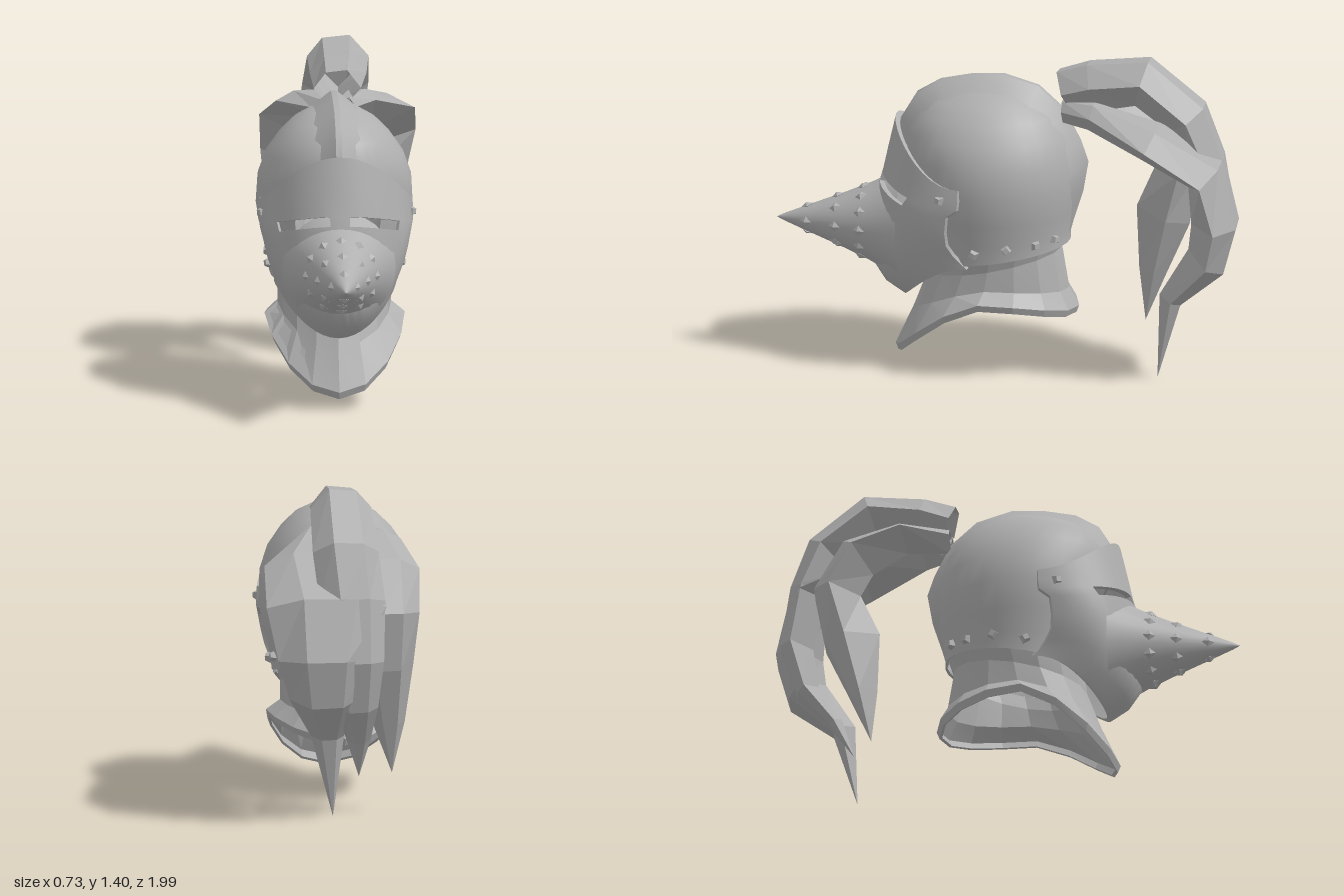
import * as THREE from 'three';
import { toCreasedNormals } from 'three/addons/utils/BufferGeometryUtils.js';

const steel = new THREE.MeshStandardMaterial({ color: 0xb0b0b0, side: THREE.DoubleSide });
steel.name = 'grey steel';

const V = (x, y, z) => new THREE.Vector3(x, y, z);

function addMesh(parent, name, geometry) {
  const mesh = new THREE.Mesh(geometry, steel);
  mesh.name = name;
  parent.add(mesh);
  return mesh;
}

// Skin a grid of points. With a centre, it becomes a plate with an inner wall
// and closed edges. keep(row, col) leaves out cells to make openings.
function plate(points, { wrap = false, keep = () => true, centre = null, thick = 0.05, crease = 0.6 } = {}) {
  const nr = points.length - 1, nc = points[0].length - 1, pos = [];
  const inner = centre && points.map(row => row.map(p => p.clone().lerp(centre, thick)));
  const quad = (a, b, c, d) => [a, b, c, a, c, d].forEach(p => pos.push(p.x, p.y, p.z));
  const has = (r, c) => {
    if (wrap) c = (c + nc) % nc;
    return r >= 0 && r < nr && c >= 0 && c < nc && keep(r, c);
  };
  for (let r = 0; r < nr; r++) for (let c = 0; c < nc; c++) {
    if (!has(r, c)) continue;
    const corners = [[r, c], [r, c + 1], [r + 1, c + 1], [r + 1, c]];
    const o = corners.map(([i, j]) => points[i][j]);
    quad(...o);
    if (!centre) continue;
    const n = corners.map(([i, j]) => inner[i][j]);
    quad(n[3], n[2], n[1], n[0]);
    [[r - 1, c], [r, c + 1], [r + 1, c], [r, c - 1]].forEach(([i, j], k) => {
      const m = (k + 1) % 4;
      if (!has(i, j)) quad(o[m], o[k], n[k], n[m]);
    });
  }
  const g = new THREE.BufferGeometry();
  g.setAttribute('position', new THREE.Float32BufferAttribute(pos, 3));
  return toCreasedNormals(g, crease);
}

// Row of points for angles from a0 to a1
const sweep = (n, a0, a1, fn) => Array.from({ length: n + 1 }, (_, i) => fn(a0 + (a1 - a0) * i / n));

function addSkull(helmet) {
  // y, half width, back z, front z
  const rows = [
    [0.53, 0.275, -0.255, 0.37], [0.60, 0.285, -0.255, 0.38], [0.70, 0.312, -0.27, 0.40],
    [0.82, 0.332, -0.285, 0.42], [0.94, 0.325, -0.28, 0.44], [1.04, 0.29, -0.25, 0.44],
    [1.12, 0.235, -0.20, 0.40], [1.18, 0.175, -0.13, 0.33], [1.22, 0.105, -0.05, 0.22], [1.24, 0, 0.05, 0.05],
  ];
  const points = rows.map(([y, w, zb, zf], r) => sweep(32, 0, Math.PI * 2, a => {
    const z = (zb + zf) / 2 + (zf - zb) / 2 * Math.cos(a);
    const tilt = r === 0 ? 0.15 : r === 1 ? 0.06 : 0;
    return V(w * Math.sin(a), y - tilt * z, z);
  }));
  const keep = (r, c) => r > 3 || Math.cos((c + 0.5) * Math.PI / 16) < 0.8;   // open face
  addMesh(helmet, 'skull', plate(points, { wrap: true, keep, centre: V(0, 0.75, 0.05), thick: 0.03 }));

  // Raised comb running from the brow to the nape
  const comb = [[0.48, 1.0], [0.465, 1.08], [0.40, 1.19], [0.30, 1.25], [0.17, 1.277], [0.03, 1.285], [-0.12, 1.24],
    [-0.23, 1.14], [-0.30, 1.0], [-0.33, 0.91], [-0.308, 0.78], [-0.27, 0.66], [-0.245, 0.57]];
  const combPoints = comb.map(([z, y]) => [[-0.11, 0.84], [-0.055, 0.93], [-0.012, 1], [0.012, 1], [0.055, 0.93], [0.11, 0.84]]
    .map(([x, s]) => V(x, 0.8 + (y - 0.8) * s, 0.05 + (z - 0.05) * s)));
  addMesh(helmet, 'comb', plate(combPoints, { crease: 0.5 }));
}

function addVisor(helmet) {
  // centre y, centre z, side y, side z, half width
  const rows = [
    [1.09, 0.49, 0.86, 0.18, 0.325], [0.96, 0.52, 0.81, 0.18, 0.328], [0.845, 0.545, 0.77, 0.185, 0.328],
    [0.805, 0.557, 0.735, 0.232, 0.318], [0.66, 0.58, 0.66, 0.24, 0.303], [0.53, 0.585, 0.60, 0.235, 0.288],
    [0.44, 0.585, 0.555, 0.21, 0.272], [0.355, 0.53, 0.52, 0.18, 0.262], [0.302, 0.45, 0.49, 0.15, 0.258],
  ];
  const points = rows.map(([yc, zc, ys, zs, w]) => sweep(24, -Math.PI / 2, Math.PI / 2, a => {
    const k = Math.cos(a);
    return V(w * Math.sin(a), ys + (yc - ys) * k * k, zs + (zc - zs) * k);
  }));
  // Eye slits
  const keep = (r, c) => {
    const deg = Math.abs(-90 + 7.5 * (c + 0.5));
    return r !== 2 || deg < 7.5 || deg > 52.5;
  };
  addMesh(helmet, 'visor', plate(points, { keep, centre: V(0, 0.7, 0), thick: 0.04 }));

  // Pointed snout: z, radius
  const profile = [[0.46, 0.24], [0.51, 0.21], [0.56, 0.185], [0.60, 0.165], [0.70, 0.122], [0.85, 0.063], [0.97, 0.015], [1.0, 0]];
  const snout = addMesh(helmet, 'snout', new THREE.LatheGeometry(profile.map(([z, r]) => new THREE.Vector2(r, z)), 28));
  snout.rotation.x = Math.PI / 2;
  snout.position.y = 0.608;

  // Rings of small diamond breaths on the snout
  const breath = new THREE.OctahedronGeometry(0.028);
  [[0.63, 0.152, 12], [0.74, 0.107, 8], [0.87, 0.056, 4]].forEach(([z, r, n]) => {
    for (let i = 0; i < n; i++) {
      const a = i / n * Math.PI * 2;
      const b = addMesh(helmet, 'breath', breath);
      b.position.set(r * Math.sin(a), 0.608 + r * Math.cos(a), z);
      b.rotation.set(0.4, 0, -a, 'ZYX');
      b.scale.set(0.85, 0.5, 1);
    }
  });
}

function addRivets(helmet) {
  const stud = new THREE.CylinderGeometry(0.016, 0.028, 0.03, 4).toNonIndexed();
  stud.computeVertexNormals();
  const spots = [[0.318, 0.81, 0.26]];
  [[0.12, 0.565], [-0.02, 0.59], [-0.14, 0.6], [-0.21, 0.61]].forEach(([z, y]) =>
    spots.push([0.287 * Math.sqrt(1 - ((z - 0.06) / 0.32) ** 2), y, z]));
  for (const side of [-1, 1]) for (const [x, y, z] of spots) {
    const rivet = addMesh(helmet, 'rivet', stud);
    rivet.position.set(side * x, y, z);
    rivet.quaternion.setFromUnitVectors(V(0, 1, 0), V(side * x, 0, z - 0.03).normalize());
  }
}

function addGorget(helmet) {
  // Neck ring, flare and pointed bib, top to bottom
  const ring = fn => sweep(16, 0, Math.PI * 2, a => fn(Math.sin(a), Math.cos(a)));
  const drop = c => c > 0 ? 0.27 * Math.pow(c, 1.5) : 0.07 * c * c;
  const points = [
    ring((s, c) => V(0.262 * s, 0.545 - 0.055 * c, 0.05 + 0.29 * c)),
    ring((s, c) => V(0.24 * s, 0.475 - 0.06 * c, 0.065 + 0.285 * c)),
    ring((s, c) => V(0.24 * s, 0.39 - 0.5 * drop(c), 0.08 + 0.33 * c)),
    ring((s, c) => V(0.297 * s, 0.345 - drop(c), 0.1 + 0.392 * c)),
    ring((s, c) => V(0.285 * s, 0.315 - drop(c), 0.1 + 0.38 * c)),
  ];
  addMesh(helmet, 'gorget', plate(points, { wrap: true, centre: V(0, 0.4, 0.1), thick: 0.03, crease: 0.2 }));
}

// Feather: each step is x, y, z, half width, half thickness
function addFeather(parent, name, steps) {
  const path = steps.map(([x, y, z]) => V(x, y, z));
  const across = V(1, 0, 0);
  const points = steps.map(([, , , w, t], i) => {
    const along = path[Math.min(i + 1, path.length - 1)].clone().sub(path[Math.max(i - 1, 0)]);
    const up = across.clone().cross(along).normalize();
    return [[-w, 0.2 * t], [-0.5 * w, 0.9 * t], [0.4 * w, t], [w, 0.2 * t], [0, -t], [-w, 0.2 * t]]
      .map(([u, v]) => path[i].clone().addScaledVector(across, u).addScaledVector(up, v));
  });
  addMesh(parent, name, plate(points, { wrap: true, crease: 0.05 }));
}

export function createModel() {
  const model = new THREE.Group();
  model.name = 'plumedHelmet';

  const helmet = new THREE.Group();
  helmet.name = 'helmet';
  helmet.position.x = -0.03;
  model.add(helmet);
  addSkull(helmet);
  addVisor(helmet);
  addRivets(helmet);
  addGorget(helmet);

  const plume = new THREE.Group();
  plume.name = 'plume';
  model.add(plume);
  addFeather(plume, 'topFeather', [
    [0.0, 1.22, -0.24, 0.10, 0.11], [0.01, 1.26, -0.36, 0.12, 0.11], [0.02, 1.29, -0.57, 0.13, 0.11],
    [0.02, 1.14, -0.76, 0.14, 0.10], [0.0, 0.95, -0.84, 0.14, 0.08], [-0.01, 0.70, -0.89, 0.12, 0.07],
    [-0.02, 0.50, -0.84, 0.09, 0.05], [-0.04, 0.34, -0.72, 0.05, 0.03], [-0.05, 0.17, -0.64, 0, 0],
  ]);
  addFeather(plume, 'leftFeather', [
    [0.03, 1.15, -0.23, 0.05, 0.05], [0.09, 1.15, -0.36, 0.08, 0.06], [0.15, 1.06, -0.62, 0.20, 0.08],
    [0.11, 0.92, -0.85, 0.255, 0.09], [0.13, 0.71, -0.895, 0.19, 0.10], [0.12, 0.55, -0.86, 0.15, 0.09],
    [0.09, 0.36, -0.70, 0.07, 0.05], [0.06, 0.0, -0.64, 0, 0],
  ]);
  addFeather(plume, 'rightFeather', [
    [-0.04, 1.15, -0.23, 0.07, 0.05], [-0.10, 1.14, -0.42, 0.15, 0.06], [-0.14, 1.04, -0.61, 0.17, 0.09],
    [-0.15, 0.88, -0.70, 0.15, 0.10], [-0.16, 0.66, -0.635, 0.12, 0.12], [-0.18, 0.40, -0.585, 0.07, 0.06],
    [-0.20, 0.17, -0.55, 0, 0],
  ]);
  return model;
}
